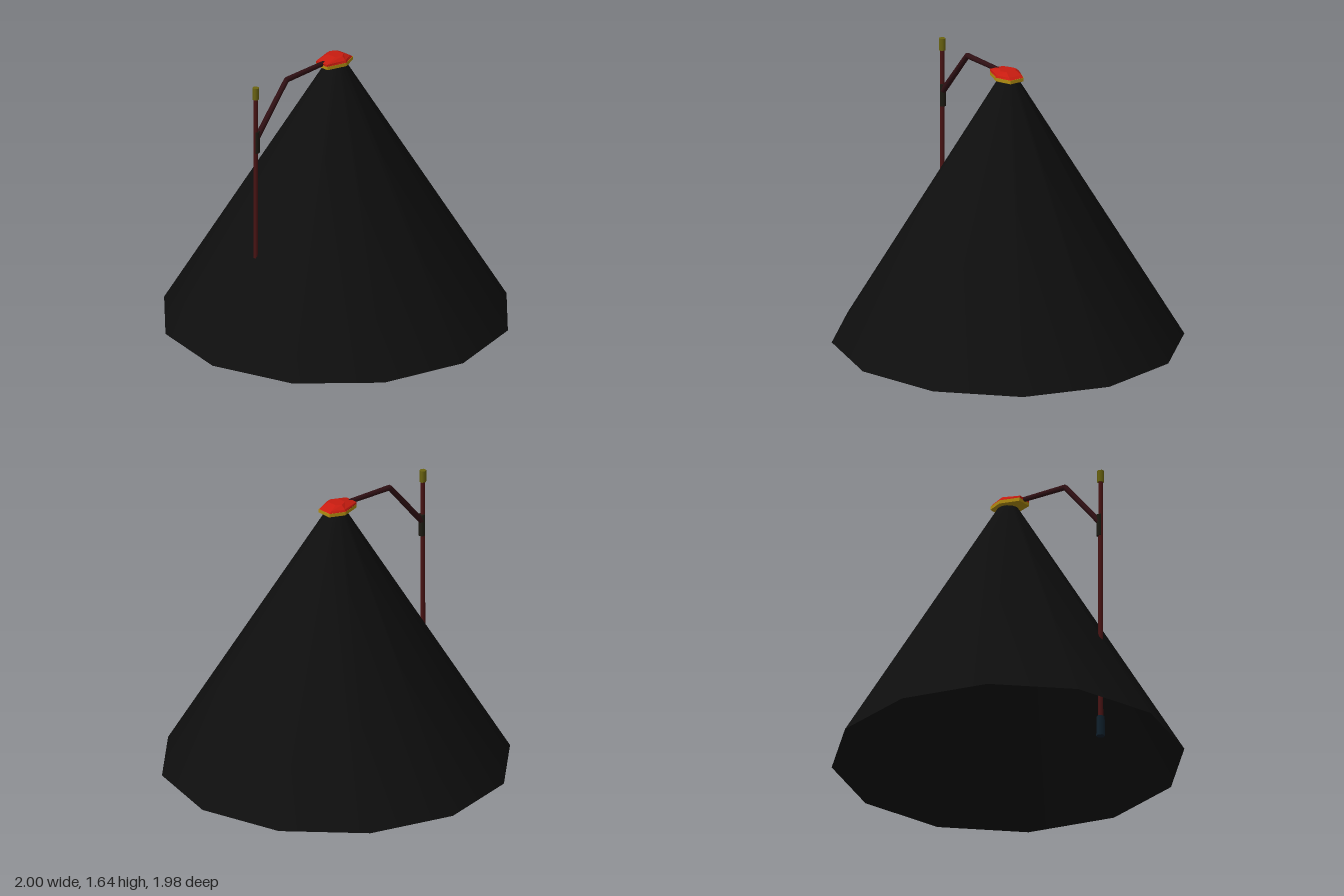
import * as THREE from 'three';

const mat = (color, extra = {}) => new THREE.MeshStandardMaterial({ color, ...extra });

export function createModel() {
  const model = new THREE.Group();
  const metal = mat(0x4a1414);
  const armMetal = mat(0x301014);
  const brass = mat(0x6b6410);
  const dark = mat(0x1c1a12);
  const blue = mat(0x10202c);
  const red = mat(0xc81c10, { flatShading: true });
  const yellow = mat(0xb08c10, { flatShading: true });
  const black = mat(0x0e0e0e, { side: THREE.DoubleSide });

  const add = (name, geometry, material) => {
    const mesh = new THREE.Mesh(geometry, material);
    mesh.name = name;
    model.add(mesh);
    return mesh;
  };

  // six-sided rod between two points
  const rod = (name, a, b, rA, rB, material) => {
    const from = new THREE.Vector3(...a), to = new THREE.Vector3(...b);
    const dir = to.clone().sub(from);
    const mesh = add(name, new THREE.CylinderGeometry(rB, rA, dir.length(), 6), material);
    mesh.position.copy(from).add(to).multiplyScalar(0.5);
    mesh.quaternion.setFromUnitVectors(new THREE.Vector3(0, 1, 0), dir.normalize());
    return mesh;
  };

  // closed solid lofted through hexagonal rings: [y, back x, front x, mid half width, end half width]
  const loft = (rings) => {
    const pos = [], index = [];
    for (const [y, x0, x1, wide, end] of rings) {
      const outline = [[x1, end], [x1, -end], [0, -wide], [x0, -end], [x0, end], [0, wide]];
      for (const [x, z] of outline) pos.push(x, y, z);
    }
    for (let r = 0; r < rings.length - 1; r++) {
      for (let i = 0; i < 6; i++) {
        const a = r * 6 + i, b = r * 6 + (i + 1) % 6;
        index.push(a, b, b + 6, a, b + 6, a + 6);
      }
    }
    const top = (rings.length - 1) * 6;
    for (let i = 1; i < 5; i++) index.push(0, i + 1, i, top, top + i, top + i + 1);
    const g = new THREE.BufferGeometry();
    g.setAttribute('position', new THREE.Float32BufferAttribute(pos, 3));
    g.setIndex(index);
    g.computeVertexNormals();
    return g;
  };

  // open cone of light
  const cone = add('lightCone', new THREE.CylinderGeometry(0.05, 1, 1.555, 12, 1, true), black);
  cone.position.y = 0.045 + 1.555 / 2;
  cone.scale.z = 0.99;

  // post with foot, collar and cap
  const px = -0.65;
  rod('post', [px, 0.05, 0], [px, 1.6, 0], 0.015, 0.013, metal);
  rod('postFoot', [px, 0, 0], [px, 0.12, 0], 0.025, 0.023, blue);
  rod('postCollar', [px + 0.007, 1.24, 0], [px + 0.007, 1.37, 0], 0.019, 0.019, dark);
  rod('postCap', [px, 1.57, 0], [px, 1.64, 0], 0.02, 0.02, brass);

  // bent arm
  rod('armBrace', [-0.645, 1.325, 0], [-0.4, 1.61, 0], 0.018, 0.016, armMetal);
  rod('armReach', [-0.405, 1.609, 0], [-0.08, 1.615, 0], 0.016, 0.014, armMetal);

  // lamp head: rim below, sloping hood above
  add('lampRim', loft([
    [1.583, -0.06, 0.075, 0.07, 0.035],
    [1.59, -0.115, 0.09, 0.082, 0.045],
    [1.61, -0.115, 0.09, 0.082, 0.045],
  ]), yellow);
  add('lampHood', loft([
    [1.609, -0.116, 0.088, 0.081, 0.044],
    [1.622, -0.116, 0.072, 0.075, 0.042],
    [1.642, -0.04, 0.03, 0.05, 0.03],
  ]), red);

  return model;
}
